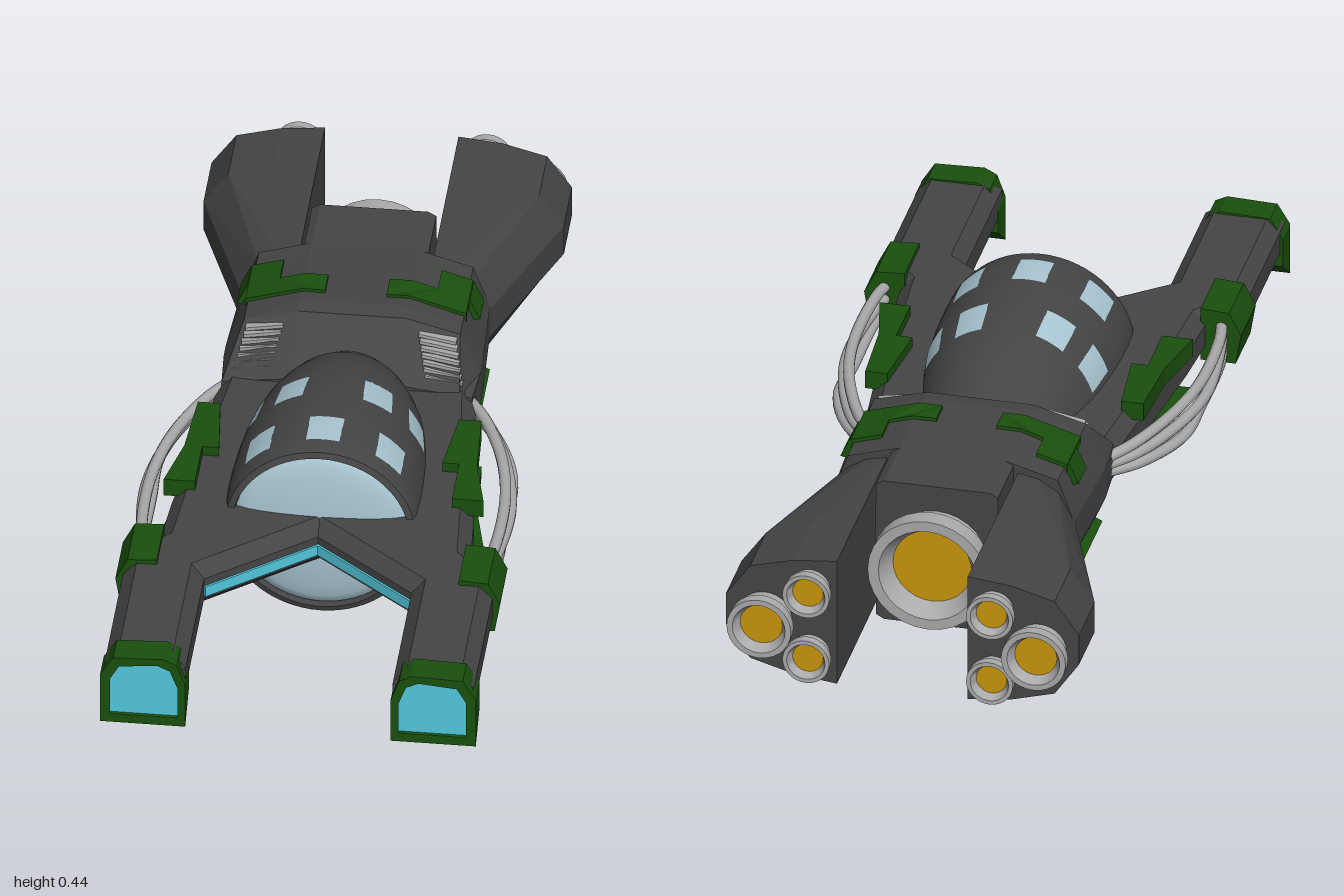
import * as THREE from 'three';
import { toCreasedNormals } from 'three/addons/utils/BufferGeometryUtils.js';

const CY = 0.22; // height of the long axis
const paint = (color, flat = true) =>
  new THREE.MeshStandardMaterial({ color, flatShading: flat, side: THREE.DoubleSide });
const DARK = paint(0x454545), DARK_SMOOTH = paint(0x454545, false), GREEN = paint(0x1a500e);
const GLASS = paint(0xa9c6d2, false), CYAN = paint(0x52c8dc), GREY = paint(0xaaaaaa, false), GOLD = paint(0xc8960c);

function add(parent, name, geometry, material) {
  const mesh = new THREE.Mesh(geometry, material);
  mesh.name = name;
  parent.add(mesh);
  return mesh;
}

// Skin over matching cross-sections, ordered back to front, corners counter-clockwise
function loft(sections) {
  const pos = [];
  const tri = (...p) => p.forEach((v) => pos.push(...v));
  const n = sections[0].length;
  for (let i = 0; i < sections.length - 1; i++) {
    for (let j = 0; j < n; j++) {
      const k = (j + 1) % n, s = sections[i], t = sections[i + 1];
      tri(s[j], s[k], t[k]);
      tri(s[j], t[k], t[j]);
    }
  }
  const back = sections[0], front = sections[sections.length - 1];
  for (let j = 1; j < n - 1; j++) {
    tri(back[0], back[j + 1], back[j]);
    tri(front[0], front[j], front[j + 1]);
  }
  const g = new THREE.BufferGeometry();
  g.setAttribute('position', new THREE.Float32BufferAttribute(pos, 3));
  g.computeVertexNormals();
  return g;
}

const shapeOf = (pts) => new THREE.Shape(pts.map(([x, y]) => new THREE.Vector2(x, y)));

// Outline given as [x, z], standing from y0 to y1
function plate(pts, y0, y1, bevel = 0) {
  const g = new THREE.ExtrudeGeometry(shapeOf(pts.map(([x, z]) => [x, -z])), {
    depth: y1 - y0 - 2 * bevel, bevelEnabled: bevel > 0, bevelSize: bevel,
    bevelThickness: bevel, bevelOffset: -bevel, bevelSegments: 1,
  });
  return g.rotateX(-Math.PI / 2).translate(0, y0 + bevel, 0);
}

// Outline given as [x, y], running from z0 to z1
const bar = (shape, z0, z1) =>
  new THREE.ExtrudeGeometry(shape, { depth: z1 - z0, bevelEnabled: false }).translate(0, 0, z0);

// Turned part along z; profile is [radius, z], angle 0 points down
function turned(profile, segments = 40, start = 0, sweep = Math.PI * 2) {
  const pts = profile.map(([r, z]) => new THREE.Vector2(r, z));
  return toCreasedNormals(new THREE.LatheGeometry(pts, segments, start, sweep).rotateX(Math.PI / 2), 0.6);
}

// Nozzle opening backward, with a glowing disc inside
function nozzle(parent, x, y, zEnd, r, length) {
  const g = new THREE.Group();
  g.name = 'nozzle';
  g.position.set(x, y, zEnd);
  add(g, 'nozzleBell', turned([[r * 0.6, length * 0.6], [r * 0.82, 0], [r, 0], [r, length * 0.45],
    [r * 0.84, length * 0.65], [r * 0.84, length * 1.3]], 28), GREY);
  add(g, 'nozzleGlow', new THREE.CircleGeometry(r * 0.68, 28).rotateY(Math.PI).translate(0, 0, length * 0.45), GOLD);
  parent.add(g);
}

// Slope of the rear body's top surface
const roofY = (x) => 0.395 - Math.max(0, x - 0.12) * 0.3;

function buildSide() {
  const side = new THREE.Group();

  // Prong tip: framed intake with a chin that slopes away
  const chin = (g) => {
    const p = g.attributes.position;
    for (let i = 0; i < p.count; i++) {
      const t = (1 - p.getZ(i)) / 0.07;
      p.setY(i, Math.max(p.getY(i), 0.1 + 0.055 * t));
    }
    g.computeVertexNormals();
    return g;
  };
  const inner = [[0.245, 0.122], [0.395, 0.122], [0.395, 0.215], [0.375, 0.25], [0.29, 0.258], [0.262, 0.245], [0.245, 0.2]];
  const frame = shapeOf([[0.228, 0.1], [0.417, 0.1], [0.417, 0.225], [0.388, 0.272], [0.275, 0.276], [0.247, 0.262], [0.228, 0.21]]);
  frame.holes.push(shapeOf(inner));
  add(side, 'prongCap', chin(bar(frame, 0.93, 1)), GREEN);
  add(side, 'intakePanel', chin(bar(shapeOf(inner), 0.932, 0.995)), CYAN);

  // Armour on the prong and hull
  add(side, 'prongBand', bar(shapeOf([[0.335, 0.153], [0.415, 0.153], [0.427, 0.225], [0.4, 0.278], [0.335, 0.282]]), 0.49, 0.63), GREEN);
  const armour = [[0.265, 0.03], [0.315, 0.03], [0.325, 0.2], [0.355, 0.335], [0.285, 0.335], [0.285, 0.2], [0.248, 0.2]];
  add(side, 'upperHullArmour', plate(armour, 0.25, 0.293), GREEN);
  add(side, 'lowerHullArmour', plate(armour, 0.15, 0.17), GREEN);

  // Glowing strip along the notch
  const strip = add(side, 'notchStrip', new THREE.BoxGeometry(Math.hypot(0.23, 0.19), 0.026, 0.01), CYAN);
  strip.position.set(0.115, 0.208, 0.535);
  strip.rotation.y = -Math.atan2(0.19, 0.23);

  // Three hoses bowing out beside the hull
  for (let i = -1; i <= 1; i++) {
    const path = new THREE.CatmullRomCurve3([
      [0.375, 0.212 + 0.028 * i, 0.52], [0.39, 0.21 + 0.03 * i, 0.45], [0.405 - 0.012 * Math.abs(i), 0.208 + 0.03 * i, 0.25],
      [0.378 - 0.012 * i, 0.213 + 0.027 * i, 0.09], [0.32 - 0.01 * i, 0.218 + 0.02 * i, -0.06], [0.26, 0.22 + 0.016 * i, -0.14],
    ].map((p) => new THREE.Vector3(...p)));
    add(side, 'hose', new THREE.TubeGeometry(path, 40, 0.013, 10), GREY);
  }

  // Slatted vent on the shoulder
  for (let i = 0; i < 7; i++) {
    const t = i / 6;
    const slat = add(side, 'ventSlat', new THREE.BoxGeometry(0.085, 0.008, 0.03), GREY);
    slat.position.set(0.212 - 0.02 * t, 0.287 + 0.072 * t, -0.135 - 0.055 * t);
    slat.rotation.z = -0.18;
  }

  // Rear armour: bent bracket above, slanted plate below
  const bracket = plate([[0.068, -0.27], [0.12, -0.27], [0.245, -0.27], [0.245, -0.4], [0.175, -0.4], [0.175, -0.33], [0.12, -0.33], [0.068, -0.33]], -0.02, 0.01);
  const p = bracket.attributes.position;
  for (let i = 0; i < p.count; i++) p.setY(i, p.getY(i) + roofY(p.getX(i)));
  add(side, 'roofBracket', bracket, GREEN);
  add(side, 'bracketFlap', bar(shapeOf([[0.225, 0.355], [0.252, 0.315], [0.27, 0.32], [0.247, 0.369]]), -0.395, -0.32), GREEN);
  add(side, 'lowerArmour', bar(shapeOf([[0.17, 0.058], [0.25, 0.066], [0.282, 0.13], [0.262, 0.14], [0.235, 0.09], [0.17, 0.08]]), -0.4, -0.22), GREEN);

  // Engine block flaring outward to the rear
  const engine = (z, bevelX, outer, inset) => [[0.148, 0.06 + inset], [(0.148 + bevelX) / 2, 0.072 + inset], [bevelX, 0.1 + inset], [outer, 0.18],
    [outer, 0.255], [bevelX, 0.333 - inset], [(0.148 + bevelX) / 2, 0.36 - inset], [0.148, 0.37 - inset]].map(([x, y]) => [x, y, z]);
  add(side, 'engineBlock', loft([engine(-0.94, 0.345, 0.4, 0), engine(-0.79, 0.345, 0.4, 0), engine(-0.45, 0.235, 0.275, 0.002)]), DARK);
  nozzle(side, 0.311, 0.21, -1, 0.073, 0.055);
  nozzle(side, 0.208, 0.297, -0.985, 0.053, 0.045);
  nozzle(side, 0.208, 0.132, -0.985, 0.053, 0.045);
  return side;
}

export function createModel() {
  const model = new THREE.Group();
  model.name = 'spacecraft';

  // Flat hull with two forward prongs
  const half = [[0.23, 0.63], [0.23, 0.98], [0.41, 0.98], [0.41, 0.56], [0.345, 0.49], [0.335, 0.35], [0.28, -0.15], [0.27, -0.3]];
  const outline = [[0, 0.44], ...half, ...half.map(([x, z]) => [-x, z]).reverse()];
  add(model, 'hull', plate(outline, 0.157, 0.27, 0.03), DARK);

  // Rear body, rising from the hull and narrowing between the engines
  const body = (z, top, shoulderX, shoulder, sideX, low = 0) => {
    const right = [[0.12, CY - top + low], [shoulderX, CY - shoulder + low], [sideX, CY - 0.04], [sideX, CY + 0.04], [shoulderX, CY + shoulder], [0.12, CY + top]];
    return [...right, ...right.map(([x, y]) => [-x, y]).reverse()].map(([x, y]) => [x, y, z]);
  };
  add(model, 'rearBody', loft([body(-0.61, 0.175, 0.138, 0.165, 0.14), body(-0.462, 0.175, 0.138, 0.165, 0.14),
    body(-0.46, 0.175, 0.238, 0.14, 0.275), body(-0.24, 0.178, 0.24, 0.14, 0.285), body(-0.2, 0.173, 0.24, 0.14, 0.285, 0.015),
    body(-0.1, 0.06, 0.25, 0.045, 0.278)]), DARK);
  nozzle(model, 0, CY, -0.7, 0.136, 0.1);

  // Round cabin with a domed front pane
  const cabin = [[0, -0.21], [0.06, -0.195], [0.11, -0.15], [0.142, -0.1], [0.165, -0.05], [0.183, 0], [0.197, 0.06], [0.207, 0.12],
    [0.214, 0.18], [0.218, 0.25], [0.219, 0.32], [0.217, 0.37], [0.212, 0.39], [0.198, 0.395], [0.194, 0.375]];
  add(model, 'cabin', turned(cabin, 64).translate(0, CY, 0), DARK_SMOOTH);
  const dome = [0, 1, 2, 3, 4, 5, 6].map((i) => [0.198 * Math.cos(i * Math.PI / 12), 0.375 + 0.032 * Math.sin(i * Math.PI / 12)]);
  add(model, 'frontPane', turned(dome, 64).translate(0, CY, 0), GLASS);

  // Cabin windows, angles in degrees from straight up and straight down
  const rows = [
    { angles: [-42, 0, 42], profile: [[0.219, 0.26], [0.221, 0.31], [0.22, 0.35]] },
    { angles: [-62, -28, 28, 62], profile: [[0.2, 0.07], [0.2085, 0.12], [0.2145, 0.165]] },
  ];
  for (const { angles, profile } of rows) {
    for (const a of angles) for (const base of [0, 180]) {
      const start = THREE.MathUtils.degToRad(base + a - 10);
      add(model, 'cabinWindow', turned(profile, 6, start, Math.PI / 9).translate(0, CY, 0), GLASS);
    }
  }

  // Paired parts
  const left = buildSide();
  left.name = 'leftSide';
  const right = left.clone();
  right.name = 'rightSide';
  right.scale.x = -1;
  model.add(left, right);
  return model;
}
